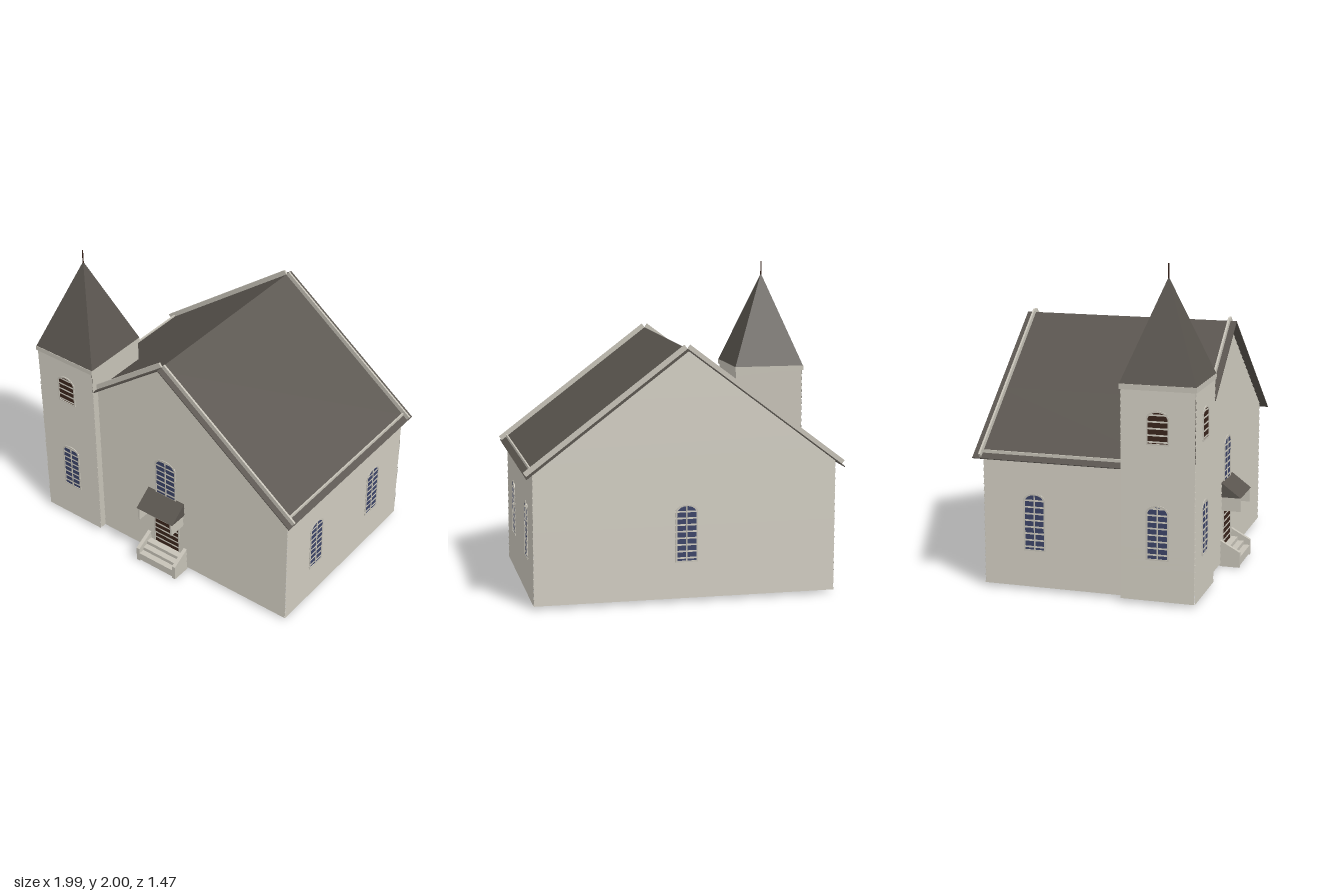
import * as THREE from 'three';

const mat = (name, color) => {
  const m = new THREE.MeshStandardMaterial({ color, side: THREE.DoubleSide });
  m.name = name;
  return m;
};

export function createModel() {
  const wall = mat('pale siding', 0xc6c2b7);
  const roof = mat('dark shingle', 0x5a554f);
  const glass = mat('blue glass', 0x3c4468);
  const wood = mat('brown wood', 0x3a251c);
  const model = new THREE.Group();
  model.name = 'church';

  const add = (parent, name, geo, m, x = 0, y = 0, z = 0) => {
    const mesh = new THREE.Mesh(geo, m);
    mesh.name = name;
    mesh.position.set(x, y, z);
    parent.add(mesh);
    return mesh;
  };
  const box = (parent, name, m, x0, x1, y0, y1, z0, z1) =>
    add(parent, name, new THREE.BoxGeometry(x1 - x0, y1 - y0, z1 - z0), m,
      (x0 + x1) / 2, (y0 + y1) / 2, (z0 + z1) / 2);
  // Side profile in (z, y), extruded along x
  const sideProfile = (parent, name, m, pts, x0, x1) => {
    const shape = new THREE.Shape(pts.map(([z, y]) => new THREE.Vector2(-z, y)));
    const geo = new THREE.ExtrudeGeometry(shape, { depth: x1 - x0, bevelEnabled: false });
    geo.rotateY(Math.PI / 2);
    return add(parent, name, geo, m, x0);
  };

  // Lapped siding: every row leans out at its lower edge and ends in a small ledge
  const siding = (rows, halfWidth, proud) => {
    const p = [];
    const quad = (a, b, c, d) => p.push(...a, ...b, ...c, ...a, ...c, ...d);
    for (let i = 0; i < rows.length - 1; i++) {
      const y0 = rows[i], y1 = rows[i + 1], a = halfWidth(y0), b = halfWidth(y1);
      quad([-a, y0, proud], [a, y0, proud], [b, y1, 0], [-b, y1, 0]);
      if (proud) quad([-a, y0, 0], [a, y0, 0], [a, y0, proud], [-a, y0, proud]);
    }
    const g = new THREE.BufferGeometry();
    g.setAttribute('position', new THREE.Float32BufferAttribute(p, 3));
    g.computeVertexNormals();
    return g;
  };
  const steps = (y0, y1, n) => Array.from({ length: n + 1 }, (_, i) => y0 + (y1 - y0) * i / n);

  // A wall group faces its own +z
  const addWall = (name, x, z, turn, rows, halfWidth, proud = 0.006) => {
    const g = new THREE.Group();
    g.name = name;
    g.position.set(x, 0, z);
    g.rotation.y = turn;
    model.add(g);
    add(g, name + ' siding', siding(rows, halfWidth, proud), wall);
    return g;
  };

  // Openings with an arched (rise > 0) or flat head
  const outline = (S, w, y0, y1, rise) => {
    const s = new S();
    s.moveTo(-w, y0);
    s.lineTo(w, y0);
    s.lineTo(w, y1 - rise);
    if (rise) {
      s.quadraticCurveTo(w * 0.75, y1, 0, y1);
      s.quadraticCurveTo(-w * 0.75, y1, -w, y1 - rise);
    } else s.lineTo(-w, y1);
    s.closePath();
    return s;
  };
  const opening = (g, name, m, u, w, y0, y1, rise, mullion) => {
    const extrude = (s, depth) =>
      new THREE.ExtrudeGeometry(s, { depth, bevelEnabled: false, curveSegments: 4 });
    add(g, name, extrude(outline(THREE.Shape, w, y0, y1, rise), 0.0195), m, u, 0, -0.015);
    const f = 0.009;
    const ring = outline(THREE.Shape, w + f, y0 - f, y1 + f, rise);
    ring.holes.push(outline(THREE.Path, w, y0, y1, rise));
    add(g, name + ' frame', extrude(ring, 0.026), wall, u, 0, -0.018);
    if (mullion) box(g, name + ' mullion', wall, u - 0.004, u + 0.004, y0, y1, 0, 0.008);
  };

  // Main hall
  const HW = 0.94, EAVE = 0.844, RIDGE = 1.555, SLOPE = 0.755;
  const low = steps(0.02, EAVE, 20), gable = [...low, ...steps(EAVE, 1.55, 17).slice(1)];
  const gableWidth = y => y <= EAVE ? HW : HW * (1.55 - y) / (1.55 - EAVE);
  const zc = -0.0325, zl = 0.6405;
  const front = addWall('frontWall', 0, 0.607, 0, gable, gableWidth);
  const back = addWall('backWall', 0, -0.672, Math.PI, gable, gableWidth);
  const right = addWall('leftWall', HW - 0.003, zc, Math.PI / 2, low, () => zl);
  const left = addWall('rightWall', -HW + 0.003, zc, -Math.PI / 2, low, () => zl);
  opening(front, 'door', wood, 0, 0.095, 0.115, 0.41, 0);
  opening(front, 'frontWindow', glass, 0, 0.073, 0.54, 0.815, 0.04, true);
  opening(back, 'backWindow', glass, 0, 0.06, 0.255, 0.595, 0.035, true);
  for (const u of [-0.32, 0.32]) {
    opening(right, 'sideWindow', glass, u, 0.06, 0.255, 0.595, 0.035, true);
    opening(left, 'sideWindow', glass, u > 0 ? 0.3 : u, 0.06, 0.255, 0.595, 0.035, true);
  }

  // Sloping slabs lying on the roof plane, side s = 1 or -1
  const angle = Math.atan(SLOPE);
  const slab = (name, m, s, x0, x1, z0, z1, thick, lift) => {
    const xm = (x0 + x1) / 2;
    const mesh = add(model, name,
      new THREE.BoxGeometry((x1 - x0) / Math.cos(angle), thick, z1 - z0), m,
      s * (xm + lift * Math.sin(angle)), RIDGE - SLOPE * xm + lift * Math.cos(angle), (z0 + z1) / 2);
    mesh.rotation.z = -s * angle;
  };
  slab('roofPanel', roof, 1, 0, 0.985, -0.73, 0.66, 0.006, -0.003);
  slab('roofPanel', roof, -1, 0, 0.53, -0.73, 0.66, 0.006, -0.003);
  slab('roofPanel', roof, -1, 0.53, 0.985, -0.73, 0.64, 0.006, -0.003);
  for (const s of [1, -1]) {
    slab('gableTrim', wall, s, 0, s > 0 ? 0.978 : 0.53, 0.609, 0.621, 0.03, 0.015);
    slab('gableTrim', wall, s, 0, 0.978, -0.687, -0.675, 0.03, 0.015);
    box(model, 'eaveTrim', wall, s * 0.945 - 0.005, s * 0.945 + 0.005, 0.835, 0.856,
      -0.675, s > 0 ? 0.609 : 0.21);
  }

  // Corner tower
  const tx = -0.76, tz = 0.43, th = 0.225;
  const towerRows = steps(0.02, 1.3, 32);
  const tower = (name, turn, proud) => addWall(name,
    tx + Math.sin(turn) * th, tz + Math.cos(turn) * th, turn, towerRows, () => th, proud);
  for (const [name, turn] of [['towerFront', 0], ['towerSide', -Math.PI / 2]]) {
    const g = tower(name, turn, 0.006);
    opening(g, 'towerWindow', glass, 0, 0.06, 0.28, 0.595, 0.035, true);
    opening(g, 'belfryLouver', wood, 0, 0.06, 0.975, 1.16, 0.035);
  }
  tower('towerBack', Math.PI, 0);
  tower('towerInnerSide', Math.PI / 2, 0);
  box(model, 'towerCornice', wall, tx - 0.235, tx + 0.232, 1.288, 1.32, tz - 0.232, tz + 0.235);
  const cone = new THREE.ConeGeometry(0.232 * Math.SQRT2, 0.6, 4, 1).toNonIndexed();
  cone.rotateY(Math.PI / 4);
  cone.computeVertexNormals();
  add(model, 'spire', cone, roof, tx, 1.62, tz);
  add(model, 'finial', new THREE.CylinderGeometry(0.004, 0.004, 0.09, 8), wood, tx, 1.955, tz);

  // Door canopy
  sideProfile(model, 'canopyRoof', roof, [[0.607, 0.545], [0.607, 0.45], [0.735, 0.45]], -0.145, 0.145);
  for (const s of [1, -1])
    box(model, 'canopyBracket', wall, s * 0.13 - 0.006, s * 0.13 + 0.006, 0.36, 0.45, 0.607, 0.732);

  // Entrance steps with sloping curbs
  [[0.735, 0.065], [0.695, 0.09], [0.655, 0.115]].forEach(([z, y]) =>
    box(model, 'step', wall, -0.136, 0.136, 0.012, y, 0.607, z));
  for (const x of [-0.16, 0.135])
    sideProfile(model, 'stepCurb', wall,
      [[0.607, 0], [0.735, 0], [0.735, 0.1], [0.607, 0.17]], x, x + 0.025);

  return model;
}
